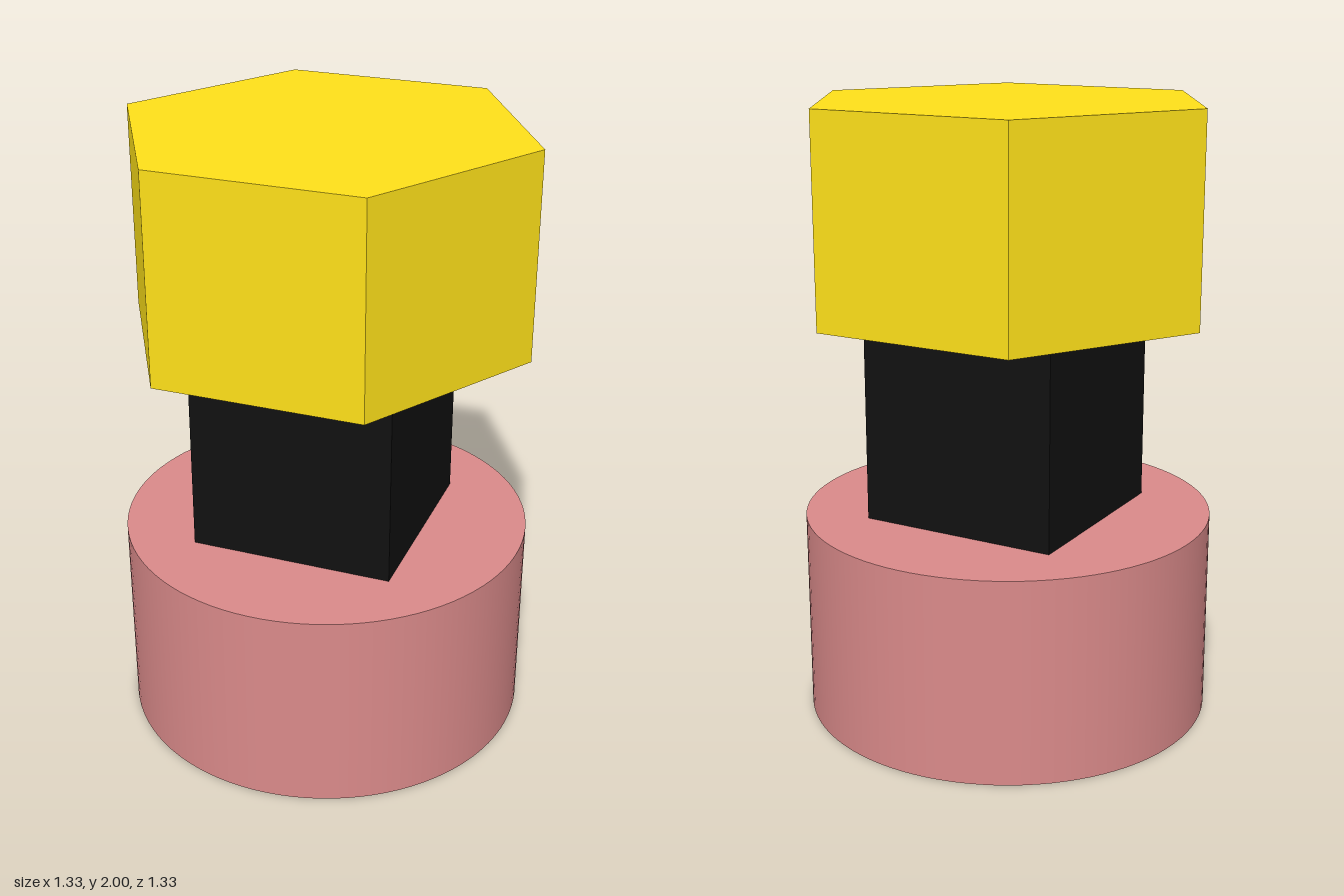
import * as THREE from 'three';

const THIRD = 2 / 3; // height of each stacked block

export function createModel() {
  const model = new THREE.Group();

  // Adds one block of the stack, its base at the given level
  const addBlock = (name, geometry, color, level, flatShading = false) => {
    const material = new THREE.MeshStandardMaterial({ color, flatShading });
    const mesh = new THREE.Mesh(geometry, material);
    mesh.name = name;
    mesh.position.y = (level + 0.5) * THIRD;
    model.add(mesh);
    return mesh;
  };

  // Round base
  addBlock('base', new THREE.CylinderGeometry(THIRD, THIRD, THIRD, 96), 0xda8a8a, 0);

  // Square column
  addBlock('column', new THREE.BoxGeometry(THIRD, THIRD, THIRD), 0x111111, 1);

  // Hexagonal head with corners pointing left and right
  const head = addBlock('head', new THREE.CylinderGeometry(THIRD, THIRD, THIRD, 6), 0xffe119, 2, true);
  head.rotation.y = 0.52;

  return model;
}
